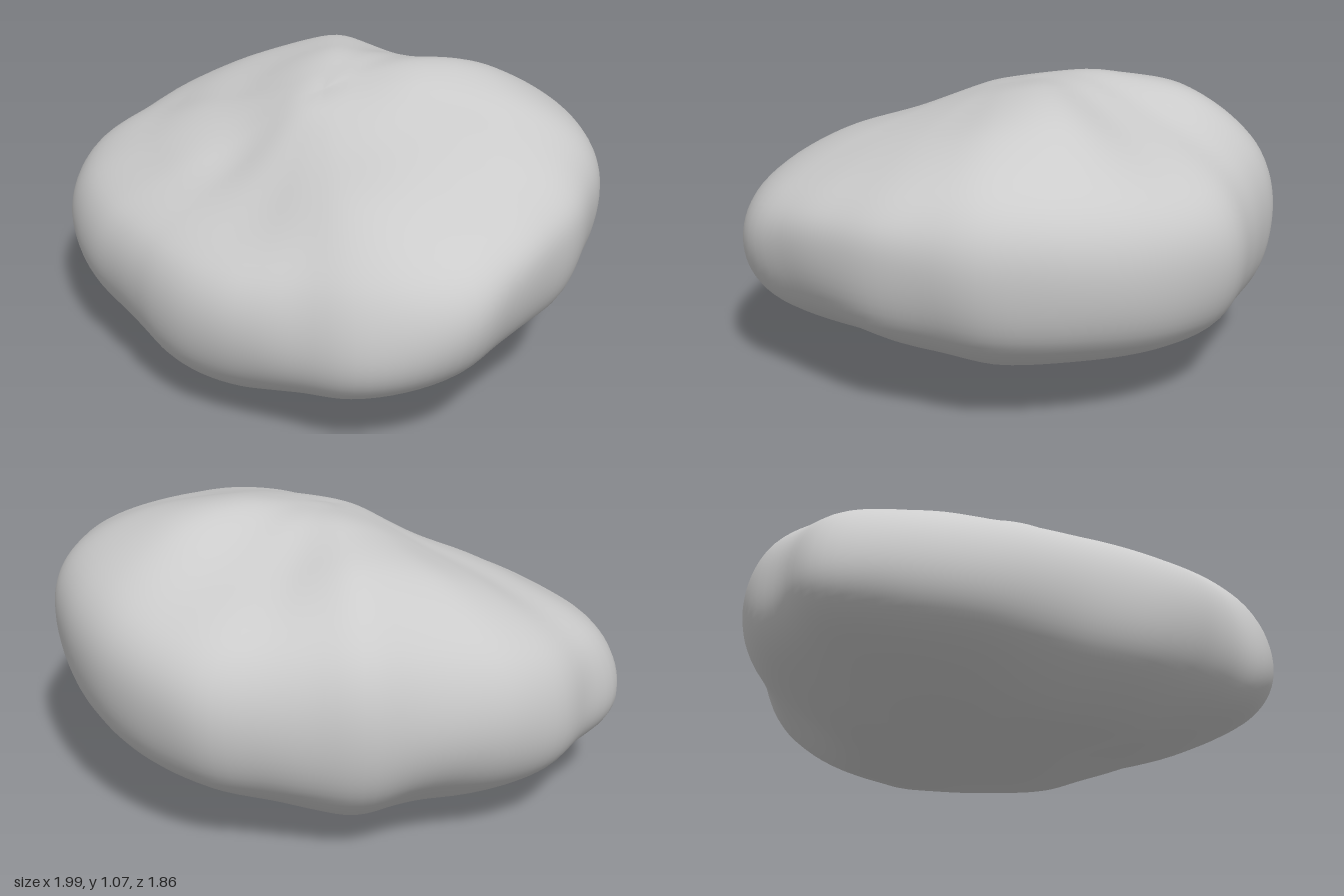
import * as THREE from 'three';
import { mergeVertices } from 'three/addons/utils/BufferGeometryUtils.js';

// Rim radius every 11.25 degrees from +x towards +z
const RADII = [
  1.0, 0.98, 0.985, 0.975, 0.99, 1.02, 1.0, 0.945,
  0.86, 0.82, 0.805, 0.793, 0.78, 0.775, 0.80, 0.86,
  0.93, 1.0, 1.045, 1.01, 1.01, 0.975, 0.927, 0.912,
  0.93, 0.91, 0.92, 0.969, 0.98, 0.98, 0.98, 0.99,
].map((r) => [r]);

// Every 22.5 degrees: rim height, then upper and lower height at 0.65 of the radius
const HEIGHTS = [
  [0.64, 1.00, 0.18], [0.66, 0.95, 0.20], [0.61, 0.89, 0.19], [0.47, 0.84, 0.16],
  [0.42, 0.80, 0.11], [0.40, 0.74, 0.06], [0.40, 0.72, 0.05], [0.40, 0.72, 0.07],
  [0.40, 0.73, 0.11], [0.40, 0.78, 0.12], [0.45, 0.85, 0.09], [0.50, 0.93, 0.08],
  [0.53, 0.97, 0.08], [0.55, 0.94, 0.11], [0.58, 0.94, 0.15], [0.63, 1.01, 0.17],
];

// Local swellings and hollows: [x, y, z, reach, amount]
const BUMPS = [
  [0.36, 1.05, -0.10, 0.20, 0.02],
  [0.00, 1.02, -0.28, 0.22, 0.03],
  [0.28, 0.95, -0.52, 0.18, -0.018],
  [-0.32, 0.82, 0.18, 0.16, -0.025],
  [-0.60, 0.75, -0.30, 0.15, -0.02],
  [-0.20, 0.25, -0.72, 0.18, -0.035],
  [-0.78, 0.45, -0.58, 0.14, -0.012],
  [0.30, 0.65, 0.70, 0.20, 0.012],
];

// Periodic cubic interpolation of a table, for a turn from 0 to 1
function lookup(table, turn) {
  const n = table.length, t = turn * n, i = Math.floor(t), f = t - i;
  const [a, b, c, d] = [-1, 0, 1, 2].map((k) => table[(i + k + n) % n]);
  return b.map((v, k) => v + 0.5 * f * (c[k] - a[k]
    + f * (2 * a[k] - 5 * v + 4 * c[k] - d[k] + f * (3 * (v - c[k]) + d[k] - a[k]))));
}

// Rounded section from the underside centre, round the rim, to the top centre
function sectionAt(turn) {
  const mix = THREE.MathUtils.lerp;
  const [r] = lookup(RADII, turn);
  const [rim, up, low] = lookup(HEIGHTS, turn);
  const angle = turn * Math.PI * 2;
  // Tilted planes keep the surface smooth across both centres
  const topPlane = (d) => 0.985 + d * (0.19 * Math.cos(angle) - 0.13 * Math.sin(angle));
  const basePlane = (d) => 0.005 + d * 0.04 * Math.cos(angle);
  return new THREE.SplineCurve([
    [0, basePlane(0)], [0.12, basePlane(0.12) + 0.008],
    [0.35 * r, mix(basePlane(0.35 * r), low, 0.4)], [0.65 * r, low],
    [0.92 * r, mix(rim, low, 0.58)],
    [r, rim],
    [0.92 * r, mix(rim, up, 0.57)],
    [0.65 * r, up], [0.35 * r, mix(topPlane(0.35 * r), up, 0.3)],
    [0.12, topPlane(0.12)], [0, topPlane(0)],
  ].map(([x, y]) => new THREE.Vector2(x, y)));
}

// Push a surface point in or out for the worn, lumpy finish
function weather(p) {
  const out = new THREE.Vector3(p.x, (p.y - 0.5) * 2, p.z).normalize();
  let amount = 0.006 * Math.sin(7 * p.x + 3 * p.z + 1) * Math.sin(8 * p.y - 4 * p.z)
    + 0.005 * Math.sin(9 * p.z - 5 * p.x + 2) * Math.cos(6 * p.y + 5 * p.x);
  for (const [x, y, z, reach, push] of BUMPS) {
    const d2 = (p.x - x) ** 2 + (p.y - y) ** 2 + (p.z - z) ** 2;
    amount += push * Math.exp(-d2 / (reach * reach));
  }
  return p.addScaledVector(out, amount);
}

function boulderGeometry(around = 128, along = 80) {
  const positions = [], index = [];
  for (let i = 0; i < around; i++) {
    const angle = (i / around) * Math.PI * 2;
    const section = sectionAt(i / around);
    for (let j = 0; j <= along; j++) {
      const q = section.getPoint(j / along);
      const r = j === 0 || j === along ? 0 : q.x;
      const p = weather(new THREE.Vector3(r * Math.cos(angle), q.y, r * Math.sin(angle)));
      positions.push(p.x, p.y, p.z);
      if (j === along) continue;
      const a = i * (along + 1) + j, b = ((i + 1) % around) * (along + 1) + j;
      if (j > 0) index.push(a, a + 1, b);
      if (j < along - 1) index.push(b, a + 1, b + 1);
    }
  }
  let geometry = new THREE.BufferGeometry();
  geometry.setAttribute('position', new THREE.Float32BufferAttribute(positions, 3));
  geometry.setIndex(index);
  geometry = mergeVertices(geometry, 1e-5);

  // Centre it and rest it on the ground
  geometry.computeBoundingBox();
  const box = geometry.boundingBox, centre = box.getCenter(new THREE.Vector3());
  geometry.translate(-centre.x, -box.min.y, -centre.z);
  geometry.computeVertexNormals();
  return geometry;
}

export function createModel() {
  const group = new THREE.Group();
  group.name = 'rock';
  const boulder = new THREE.Mesh(
    boulderGeometry(),
    new THREE.MeshStandardMaterial({ color: 0xcccccc }),
  );
  boulder.name = 'boulder';
  group.add(boulder);
  return group;
}
